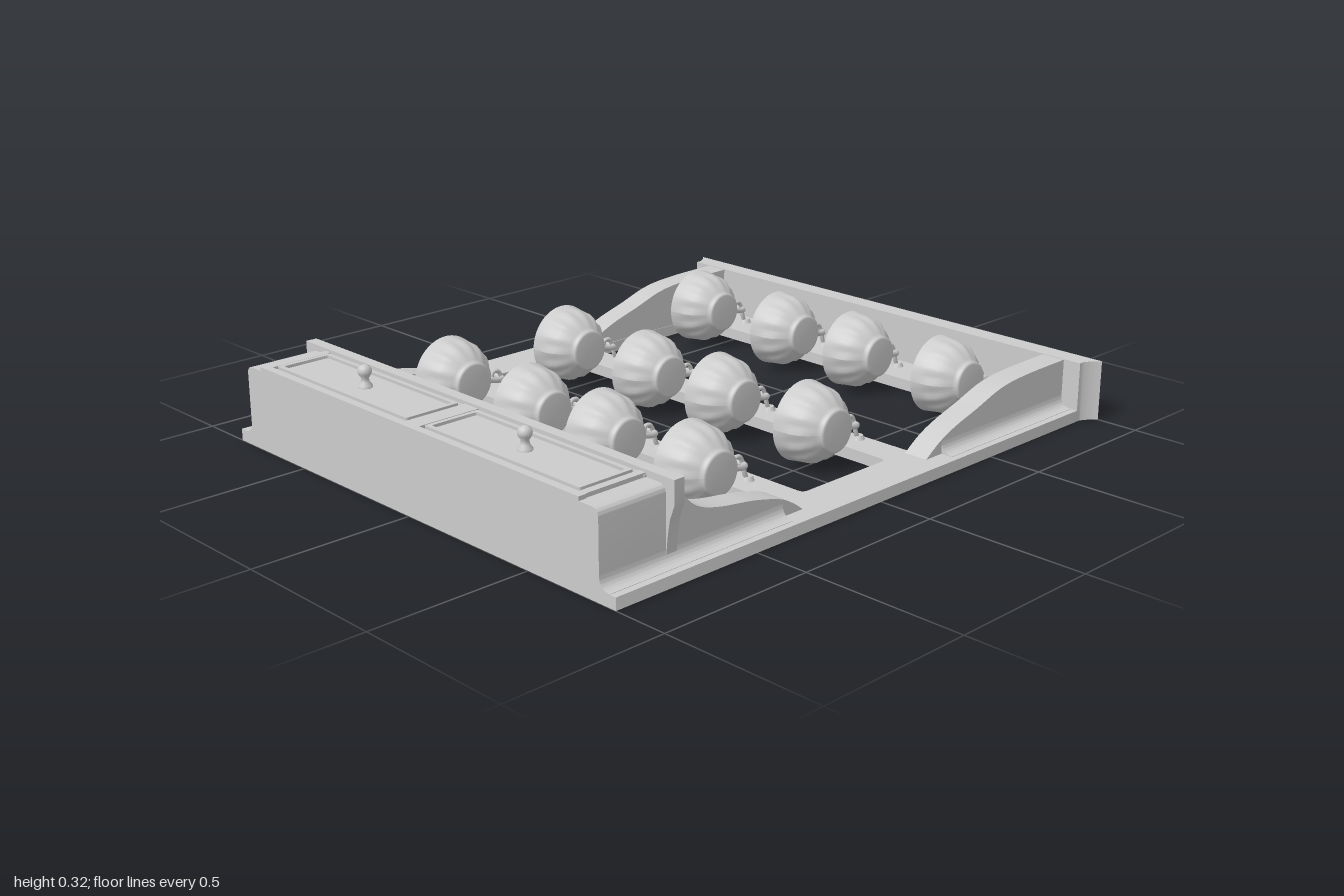
import * as THREE from 'three';
import { toCreasedNormals } from 'three/addons/utils/BufferGeometryUtils.js';

const mat = new THREE.MeshStandardMaterial({ color: 0xcccccc });
const thinMat = new THREE.MeshStandardMaterial({ color: 0xcccccc, side: THREE.DoubleSide });
const v2 = (x, y) => new THREE.Vector2(x, y);
const v3 = (x, y, z) => new THREE.Vector3(x, y, z);

function add(parent, name, geo, material = mat) {
  const m = new THREE.Mesh(geo, material);
  m.name = name;
  parent.add(m);
  return m;
}

function box(parent, name, x0, x1, y0, y1, z0, z1) {
  const g = new THREE.BoxGeometry(x1 - x0, y1 - y0, z1 - z0);
  g.translate((x0 + x1) / 2, (y0 + y1) / 2, (z0 + z1) / 2);
  return add(parent, name, g);
}

function extrude(shape, depth, extra = {}) {
  const g = new THREE.ExtrudeGeometry(shape, { depth, bevelEnabled: false, curveSegments: 12, ...extra });
  return toCreasedNormals(g, 0.6);
}

// Profile drawn in (z, y), swept between x0 and x1
const sweepX = (shape, x0, x1) => extrude(shape, x1 - x0).rotateY(-Math.PI / 2).translate(x1, 0, 0);
// Plan drawn in (x, -z), raised from y0 to y1
const raise = (shape, y0, y1) => extrude(shape, y1 - y0).rotateX(-Math.PI / 2).translate(0, y0, 0);

// Rounded rectangle in plan, given in x and z
function roundRect(path, x0, x1, z0, z1, r) {
  const a = -z1, b = -z0;
  path.moveTo(x0 + r, a).lineTo(x1 - r, a).quadraticCurveTo(x1, a, x1, a + r)
    .lineTo(x1, b - r).quadraticCurveTo(x1, b, x1 - r, b)
    .lineTo(x0 + r, b).quadraticCurveTo(x0, b, x0, b - r)
    .lineTo(x0, a + r).quadraticCurveTo(x0, a, x0 + r, a);
  return path;
}

// One side: two curved wings, their coved feet and the corner post
function makeSide() {
  const side = new THREE.Group();
  side.name = 'sidePanel';

  const upper = new THREE.Shape([v2(-0.95, 0.02), v2(-0.27, 0.02), v2(-0.27, 0.036)]);
  upper.splineThru([v2(-0.33, 0.075), v2(-0.4, 0.105), v2(-0.5, 0.135), v2(-0.62, 0.172), v2(-0.75, 0.185), v2(-0.95, 0.188)]);
  add(side, 'upperWing', sweepX(upper, 0.692, 0.77));

  const lower = new THREE.Shape([v2(0.26, 0.02), v2(0.76, 0.02), v2(0.76, 0.26), v2(0.735, 0.258)]);
  lower.splineThru([v2(0.71, 0.205), v2(0.66, 0.16), v2(0.58, 0.135), v2(0.45, 0.115), v2(0.35, 0.09), v2(0.3, 0.065), v2(0.26, 0.036)]);
  add(side, 'lowerWing', sweepX(lower, 0.692, 0.77));

  const foot = new THREE.Shape();
  foot.moveTo(0.76, 0.03).lineTo(0.808, 0.03).lineTo(0.808, 0.037)
    .quadraticCurveTo(0.77, 0.037, 0.77, 0.075).lineTo(0.76, 0.075);
  for (const [z0, z1] of [[-0.95, -0.34], [0.34, 1]])
    add(side, 'wingFoot', extrude(foot, z1 - z0).translate(0, 0, z0));

  // Post beside the drawers with a rounded outer edge
  const post = new THREE.Shape();
  post.moveTo(0.68, 0).lineTo(0.77, 0).lineTo(0.77, 0.225)
    .quadraticCurveTo(0.77, 0.25, 0.745, 0.25).lineTo(0.68, 0.25);
  add(side, 'cornerPost', extrude(post, 0.24).translate(0, 0, 0.76));
  return side;
}

// Drawer front: plate, raised lip and turned knob
function makeDrawer(cx) {
  const g = new THREE.Group();
  g.name = 'drawer';
  const [x0, x1, z0, z1] = [cx - 0.312, cx + 0.312, 0.785, 0.965];
  box(g, 'drawerFront', x0, x1, 0.24, 0.256, z0, z1);
  const lip = roundRect(new THREE.Shape(), x0, x1, z0, z1, 0.006);
  lip.holes.push(roundRect(new THREE.Path(), x0 + 0.014, x1 - 0.014, z0 + 0.014, z1 - 0.014, 0.006));
  add(g, 'drawerLip', raise(lip, 0.25, 0.265));
  const profile = [[0.021, 0], [0.021, 0.008], [0.013, 0.018], [0.011, 0.03], [0.019, 0.042],
    [0.021, 0.052], [0.017, 0.063], [0.008, 0.068], [0, 0.069]].map(p => v2(...p));
  add(g, 'knob', new THREE.LatheGeometry(profile, 20)).position.set(cx, 0.254, 0.876);
  return g;
}

// Fluted teacup, open at the top (local +y), handle towards -z
function cupGeometry() {
  const outer = [[0, 0], [0.058, 0], [0.066, 0.004], [0.064, 0.012], [0.072, 0.02], [0.09, 0.036],
    [0.105, 0.058], [0.113, 0.082], [0.117, 0.11], [0.122, 0.14]];
  const inner = [[0.118, 0.14], [0.111, 0.1], [0.1, 0.062], [0.075, 0.03], [0, 0.02]];
  const geo = new THREE.LatheGeometry([...outer, ...inner].map(p => v2(...p)), 64);
  const p = geo.attributes.position;
  for (let i = 0; i < p.count; i++) {
    const y = p.getY(i);
    const s = y > 0.015 && y < 0.12 ? Math.sin(Math.PI * (y - 0.015) / 0.105) : 0;
    const k = 1 + 0.03 * s * Math.cos(14 * Math.atan2(p.getX(i), p.getZ(i)));
    p.setX(i, p.getX(i) * k);
    p.setZ(i, p.getZ(i) * k);
  }
  geo.computeVertexNormals();
  return geo;
}

export function createModel() {
  const model = new THREE.Group();
  model.name = 'cupRack';

  // Back frame with three openings
  const frame = roundRect(new THREE.Shape(), -0.83, 0.83, -1, 1, 0.002);
  for (const [z0, z1] of [[-0.79, -0.29], [-0.185, 0.17], [0.28, 0.64]])
    frame.holes.push(roundRect(new THREE.Path(), -0.69, 0.69, z0, z1, 0.02));
  add(model, 'backFrame', raise(frame, 0, 0.036));

  // Flared crown board
  const crown = new THREE.Shape();
  crown.moveTo(-0.83, 0.935).lineTo(0.83, 0.935).lineTo(0.83, 0.95)
    .quadraticCurveTo(0.838, 0.975, 0.865, 1).lineTo(-0.865, 1)
    .quadraticCurveTo(-0.838, 0.975, -0.83, 0.95);
  add(model, 'crownBoard', raise(crown, 0, 0.19));

  // Mirrored sides
  const left = makeSide();
  const right = makeSide();
  right.scale.x = -1;
  model.add(left, right);

  // Coved shelf, ledge and drawer case
  const cove = new THREE.Shape();
  cove.moveTo(0.63, 0).lineTo(0.78, 0).lineTo(0.78, 0.258).lineTo(0.737, 0.258)
    .bezierCurveTo(0.73, 0.15, 0.7, 0.06, 0.63, 0.036);
  add(model, 'covedShelf', sweepX(cove, -0.7, 0.7));
  const ledge = new THREE.Shape();
  ledge.moveTo(-0.77, 0.02).lineTo(0.77, 0.02).quadraticCurveTo(0.772, 0.1, 0.785, 0.16)
    .lineTo(0.8, 0.2).lineTo(0.8, 0.27).lineTo(-0.8, 0.27).lineTo(-0.8, 0.2)
    .lineTo(-0.785, 0.16).quadraticCurveTo(-0.772, 0.1, -0.77, 0.02);
  add(model, 'ledge', extrude(ledge, 0.036).translate(0, 0, 0.737));
  box(model, 'drawerCase', -0.69, 0.69, 0, 0.25, 0.77, 1);
  box(model, 'caseRail', -0.7, 0.7, 0.24, 0.262, 0.975, 1);
  box(model, 'caseDivider', -0.03, 0.03, 0.24, 0.262, 0.77, 0.98);
  for (const s of [-1, 1]) {
    box(model, 'caseEdge', s * 0.685 - 0.012, s * 0.685 + 0.012, 0.24, 0.262, 0.77, 0.98);
    model.add(makeDrawer(s * 0.352));
  }

  // Cups lying sideways, each hung on a hook
  const cupGeo = cupGeometry();
  const handleGeo = new THREE.TubeGeometry(new THREE.CatmullRomCurve3([
    v3(-0.02, 0.045, -0.09), v3(-0.03, 0.05, -0.125), v3(-0.037, 0.065, -0.16), v3(-0.04, 0.09, -0.172),
    v3(-0.037, 0.112, -0.155), v3(-0.03, 0.115, -0.13), v3(-0.02, 0.105, -0.108)]), 28, 0.009, 8);
  const hookGeo = new THREE.TubeGeometry(new THREE.CatmullRomCurve3([
    v3(0, 0.03, -0.195), v3(0, 0.06, -0.18), v3(0, 0.09, -0.172), v3(0, 0.115, -0.158),
    v3(0, 0.115, -0.138), v3(0, 0.095, -0.132)]), 24, 0.007, 8);
  const baseGeo = new THREE.CylinderGeometry(0.014, 0.02, 0.014, 16);
  for (const z of [-0.69, -0.07, 0.405]) {
    for (const rim of [-0.59, -0.215, 0.105, 0.465]) {
      const unit = new THREE.Group();
      unit.name = 'hangingCup';
      unit.position.set(rim, 0, z);
      const cup = new THREE.Group();
      cup.name = 'teacup';
      cup.rotation.z = Math.PI / 2;
      cup.position.set(0.14, 0.13, 0);
      add(cup, 'cupBody', cupGeo, thinMat);
      add(cup, 'cupHandle', handleGeo);
      unit.add(cup);
      add(unit, 'hook', hookGeo).position.x = 0.055;
      add(unit, 'hookTip', new THREE.SphereGeometry(0.01, 10, 8)).position.set(0.055, 0.095, -0.132);
      add(unit, 'hookBase', baseGeo).position.set(0.055, 0.042, -0.193);
      model.add(unit);
    }
  }
  return model;
}
